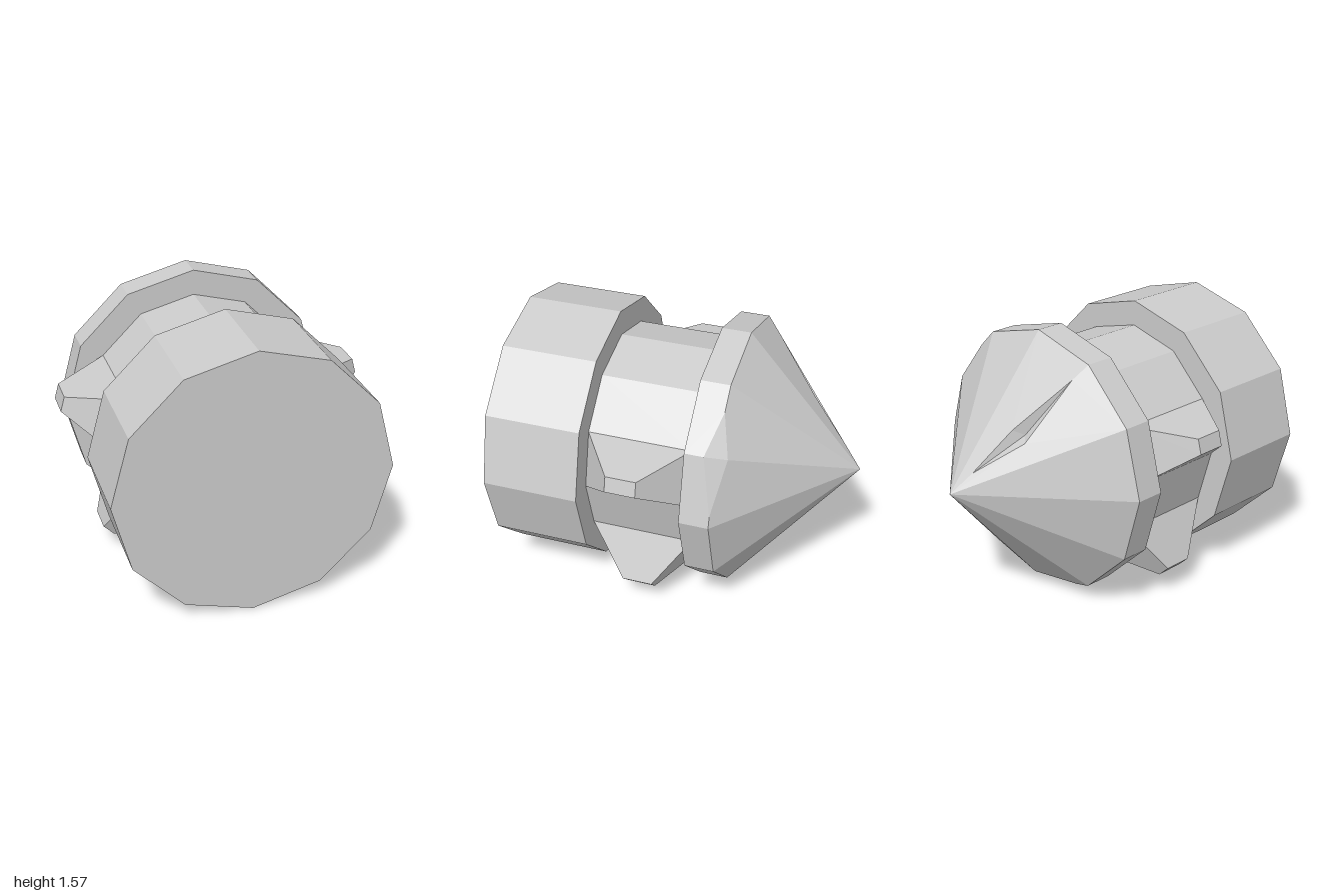
import * as THREE from 'three';
import { ConvexGeometry } from 'three/addons/geometries/ConvexGeometry.js';

const R = 0.785, WAIST_R = 0.635;
const RIM_Z = -0.33, FLANGE_Z = -0.16, BODY_Z = 0.44;
const rad = THREE.MathUtils.degToRad;
const polar = (r, deg, z) => new THREE.Vector3(r * Math.cos(rad(deg)), r * Math.sin(rad(deg)), z);

export function createModel() {
  const group = new THREE.Group();
  const material = new THREE.MeshStandardMaterial({ color: 0xcccccc, flatShading: true });

  const add = (name, geometry) => {
    const mesh = new THREE.Mesh(geometry, material);
    mesh.name = name;
    group.add(mesh);
  };

  // Twelve-sided drum lying along z
  const drum = (name, r, z0, z1) => {
    const g = new THREE.CylinderGeometry(r, r, z1 - z0, 12);
    g.rotateX(Math.PI / 2).translate(0, 0, (z0 + z1) / 2);
    add(name, g);
  };
  drum('frontDrum', R, BODY_Z, 1);
  drum('waist', WAIST_R, FLANGE_Z, BODY_Z);

  // Tapered studs growing out of four waist facets
  const stud = (name, angle) => {
    const points = [];
    for (const [z, tipZ] of [[FLANGE_Z, 0.05], [BODY_Z, 0.225]]) {
      for (const side of [-1, 1]) {
        points.push(polar(WAIST_R, angle + side * 15, z));
        const tangent = polar(0.045 * side, angle + 90, 0);
        points.push(polar(0.9, angle, tipZ).add(tangent));
      }
    }
    add(name, new ConvexGeometry(points));
  };
  stud('upperLeftStud', 15);
  stud('upperRightStud', 165);
  stud('lowerLeftStud', -45);
  stud('lowerRightStud', -135);

  add('pointedHead', headGeometry());

  group.position.y = R;
  const root = new THREE.Group();
  root.name = 'pointedDrum';
  root.add(group);
  return root;
}

// Flange and cone with two chipped rim corners and a gash along one ridge
function headGeometry() {
  const apex = new THREE.Vector3(0, 0, -1);
  const rim = (deg) => polar(R, deg, RIM_Z);

  // Chipped corners: how far each cut runs along the two rim edges
  const chips = { 30: [0.83, 0.63], 270: [0.76, 0.76] };
  const points = [apex];
  for (let a = 0; a < 360; a += 30) {
    points.push(polar(R, a, FLANGE_Z));
    const chip = chips[a];
    if (!chip) {
      points.push(rim(a));
      continue;
    }
    points.push(
      polar(R, a, -0.27),
      rim(a).lerp(apex, 0.085),
      rim(a).lerp(rim(a - 30), chip[0]),
      rim(a).lerp(rim(a + 30), chip[1])
    );
  }

  // Keep the hull except the two cone facets that carry the gash
  const hull = new ConvexGeometry(points).getAttribute('position');
  const out = [];
  for (let i = 0; i < hull.count; i += 3) {
    const t = [0, 1, 2].map((k) => new THREE.Vector3().fromBufferAttribute(hull, i + k));
    const c = t[0].clone().add(t[1]).add(t[2]).divideScalar(3);
    const angle = THREE.MathUtils.radToDeg(Math.atan2(c.y, c.x));
    if (c.z < -0.4 && angle > 91 && angle < 149) continue;
    t.forEach((p) => out.push(p.x, p.y, p.z));
  }

  // Triangle turned to face away from the middle of the head
  const centre = new THREE.Vector3(0, 0, -0.25);
  const tri = (a, b, c) => {
    const n = b.clone().sub(a).cross(c.clone().sub(a));
    const order = n.dot(a.clone().sub(centre)) > 0 ? [a, b, c] : [a, c, b];
    order.forEach((p) => out.push(p.x, p.y, p.z));
  };

  // Facets around the gash, then its sunken walls
  const ridge = rim(120);
  const top = apex.clone().lerp(ridge, 0.165);
  const bottom = apex.clone().lerp(ridge, 0.885);
  const deep = new THREE.Vector3(-0.2, 0.3, -0.62);
  const sides = [
    [rim(90), new THREE.Vector3(-0.16, 0.332, -0.68)],
    [rim(150), new THREE.Vector3(-0.25, 0.278, -0.67)],
  ];
  for (const [corner, lip] of sides) {
    tri(apex, corner, lip);
    tri(apex, lip, top);
    tri(corner, bottom, lip);
    tri(corner, ridge, bottom);
    tri(top, lip, deep);
    tri(lip, bottom, deep);
  }

  const geometry = new THREE.BufferGeometry();
  geometry.setAttribute('position', new THREE.Float32BufferAttribute(out, 3));
  geometry.computeVertexNormals();
  return geometry;
}
